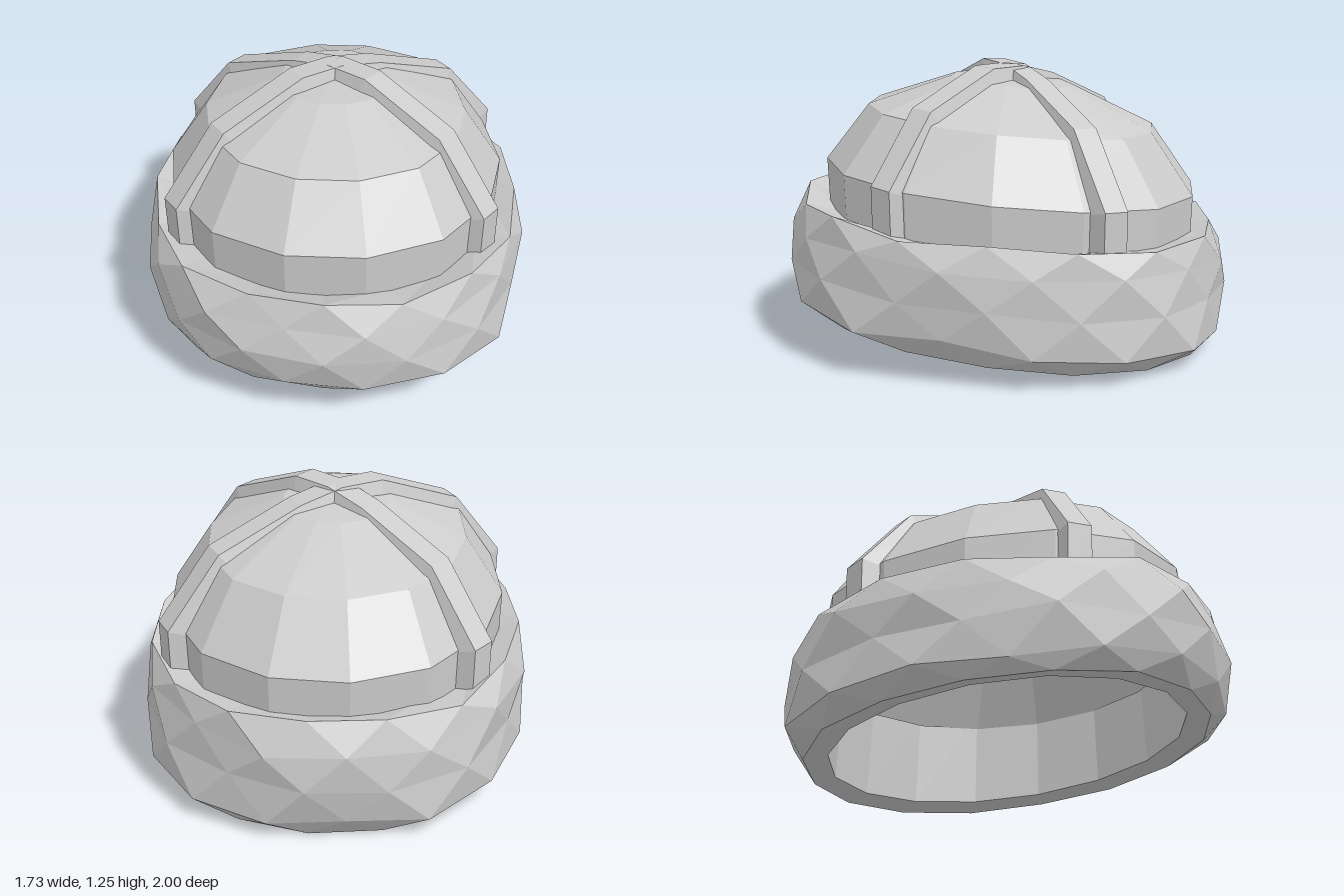
import * as THREE from 'three';

const material = new THREE.MeshStandardMaterial({ color: 0xcccccc, flatShading: true, side: THREE.DoubleSide });

// Skin a list of closed rings; shifts mark rings turned by half a step.
function loft(name, rings, shifts = []) {
  const n = rings[0].length, index = [];
  for (let i = 0; i < rings.length - 1; i++) {
    for (let j = 0; j < n; j++) {
      const k = (j + 1) % n;
      const a = i * n + j, b = i * n + k, c = a + n, d = b + n;
      if ((shifts[i + 1] || 0) > (shifts[i] || 0)) index.push(a, b, c, b, d, c);
      else index.push(a, d, c, a, b, d);
    }
  }
  const geometry = new THREE.BufferGeometry().setFromPoints(rings.flat());
  geometry.setIndex(index);
  geometry.computeVertexNormals();
  const mesh = new THREE.Mesh(geometry, material);
  mesh.name = name;
  return mesh;
}

// Elliptical ring, fuller at the diagonals by "square", rising towards the front.
function ring({ n, shift = 0, rx, rz, cz = 0, y, tilt, square = 0, jitter = () => 0 }) {
  return Array.from({ length: n }, (_, j) => {
    const a = ((j + shift) / n) * Math.PI * 2;
    const k = 1 + square * Math.sin(2 * a) ** 2 + jitter();
    const x = Math.sin(a) * rx * k, z = Math.cos(a) * rz * k + cz;
    return new THREE.Vector3(x, y + tilt * z + jitter(), z);
  });
}

function createDome() {
  // scale, height
  const profile = [[0.99, 0.5], [1, 0.76], [0.77, 1.02], [0.32, 1.175], [0.001, 1.2]];
  return loft('dome', profile.map(([s, y]) =>
    ring({ n: 14, shift: 0.5, rx: 0.745 * s, rz: 0.835 * s, cz: -0.015, y, tilt: 0.085, square: 0.025 })));
}

// Inside ceiling, starting at the brim's inner wall.
function createLining() {
  const profile = [[0.001, 1.02], [0.3, 0.98], [0.62, 0.76], [0.79, 0.48]];
  return loft('lining', profile.map(([s, y]) =>
    ring({ n: 16, rx: 0.87 * s, rz: 0.965 * s, y, tilt: 0.08 })));
}

function createBrim() {
  let seed = 11;
  const random = () => (seed = (seed * 16807) % 2147483647) / 2147483647;
  // scale, height, tilt, half-step shift, roughness, fullness
  const rows = [
    [0.79, 0.56, 0.065, 0, 0, 0],
    [0.81, 0.115, 0.11, 0, 0, 0],
    [0.91, 0.095, 0.105, 0, 0.005, 0.03],
    [0.985, 0.175, 0.09, 0.5, 0.025, 0.04],
    [0.995, 0.34, 0.08, 0, 0.025, 0.04],
    [0.985, 0.49, 0.07, 0.5, 0.025, 0.04],
    [0.94, 0.605, 0.065, 0, 0.018, 0.04],
    [0.79, 0.56, 0.065, 0, 0, 0],
  ];
  const rings = rows.map(([s, y, tilt, shift, rough, square]) => ring({
    n: 16, shift, rx: 0.87 * s, rz: 0.985 * s, y, tilt, square,
    jitter: () => (random() * 2 - 1) * rough,
  }));
  return loft('furBrim', rings, rows.map((r) => r[3]));
}

// Raised band running over the dome from the back of the brim to the front.
function createStrap(name, side) {
  // distance from centre, height, outward direction of the band surface
  const path = [
    [-0.83, 0.5, -1, 0], [-0.835, 0.77, -0.95, 0.3], [-0.59, 1.065, -0.6, 0.8], [-0.2, 1.205, -0.15, 1],
    [0, 1.245, 0, 1],
    [0.2, 1.24, 0.15, 1], [0.59, 1.08, 0.6, 0.8], [0.835, 0.77, 0.95, 0.3], [0.83, 0.5, 1, 0],
  ];
  const u = new THREE.Vector3(0.815 * side, 0, 0.58);
  const w = new THREE.Vector3(u.z, 0, -u.x);
  const topHalf = 0.055, baseHalf = 0.082, depth = 0.09;
  const rings = path.map(([r, y, nr, ny]) =>
    [[-topHalf, 0], [-baseHalf, 1], [baseHalf, 1], [topHalf, 0]].map(([across, inner]) => {
      const p = u.clone().multiplyScalar(r - nr * depth * inner).addScaledVector(w, across);
      p.z -= 0.03;
      p.y = y - ny * depth * inner + 0.075 * p.z;
      return p;
    }));
  return loft(name, rings);
}

export function createModel() {
  const hat = new THREE.Group();
  hat.name = 'hat';
  hat.add(
    createDome(), createLining(), createBrim(),
    createStrap('leftFrontStrap', 1), createStrap('rightFrontStrap', -1),
  );
  return hat;
}
